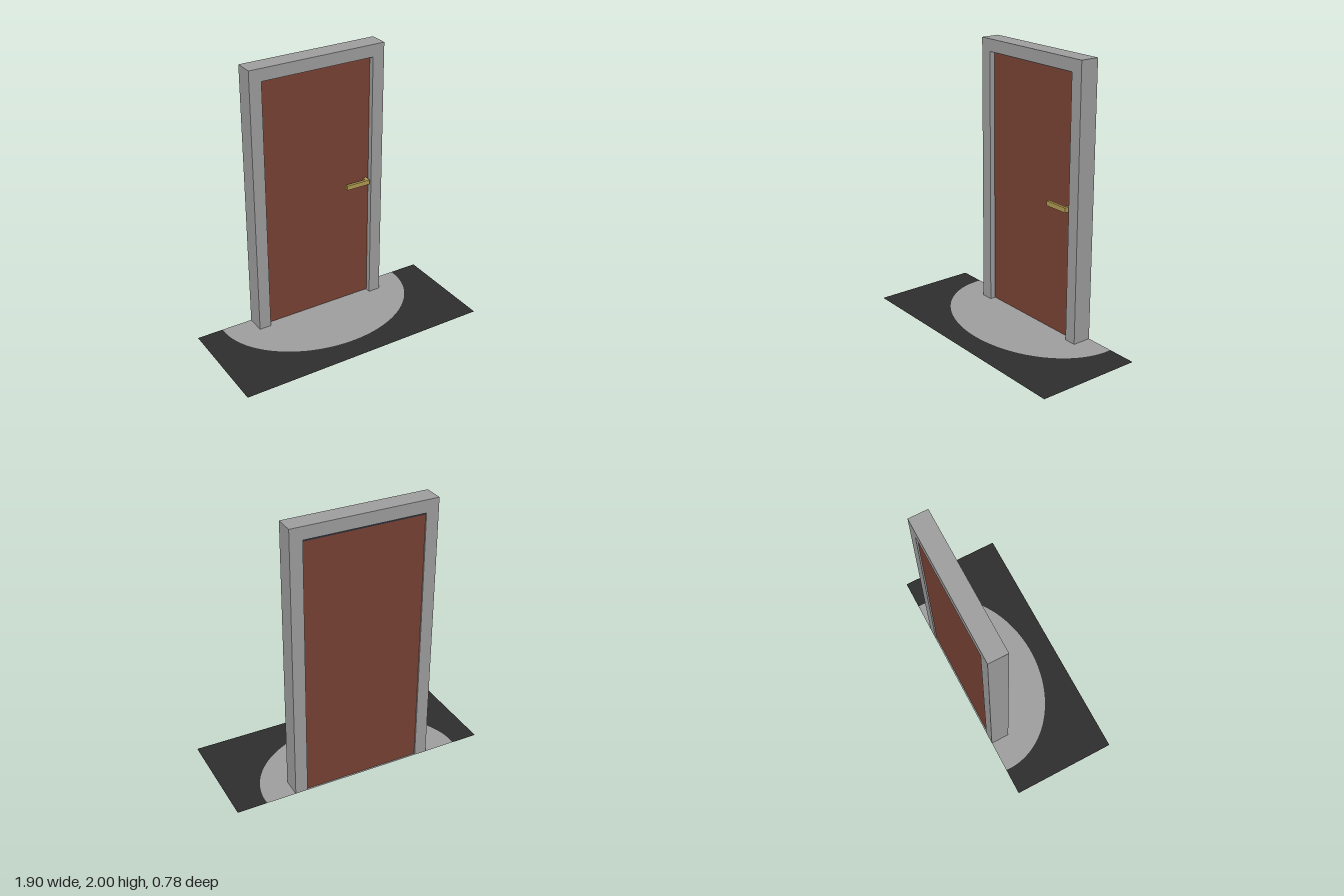
import * as THREE from 'three';

function material(name, color, side = THREE.FrontSide) {
  const m = new THREE.MeshStandardMaterial({ color, side });
  m.name = name;
  return m;
}

export function createModel() {
  const group = new THREE.Group();
  const grey = material('stone grey', 0x9d9d9d);
  const mat = material('mat grey', 0x9d9d9d, THREE.DoubleSide);
  const floor = material('floor charcoal', 0x2d2d2d, THREE.DoubleSide);
  const wood = material('red brown wood', 0x774133);
  const brass = material('brass', 0xae9850);
  const shadowGap = material('dark seal', 0x2b2d35);

  const add = (name, geometry, mtl) => {
    const mesh = new THREE.Mesh(geometry, mtl);
    mesh.name = name;
    group.add(mesh);
    return mesh;
  };
  // Box given by its limits on each axis
  const box = (name, mtl, [x0, x1], [y0, y1], [z0, z1]) => {
    const g = new THREE.BoxGeometry(x1 - x0, y1 - y0, z1 - z0);
    g.translate((x0 + x1) / 2, (y0 + y1) / 2, (z0 + z1) / 2);
    return add(name, g, mtl);
  };

  // Floor slab around a half-oval mat, both flat and flush
  const W = 0.95, D = 0.39;
  const a = Math.asin(0.03 / 0.58);
  const arc = [];
  for (let i = 0; i <= 72; i++) {
    const t = Math.PI - a + (i / 72) * (Math.PI + 2 * a);
    arc.push(new THREE.Vector2(-0.01 + 0.745 * Math.cos(t), 0.36 + 0.58 * Math.sin(t)));
  }
  const corners = [[W, D], [W, -D], [-W, -D], [-W, D]].map(([x, y]) => new THREE.Vector2(x, y));
  const flat = (points) => new THREE.ShapeGeometry(new THREE.Shape(points)).rotateX(-Math.PI / 2);
  add('mat', flat(arc), mat);
  add('floor', flat([...arc, ...corners]), floor);

  // Door frame: one inverted U, extruded through its depth
  const u = [[-0.52, 0], [-0.43, 0], [-0.43, 1.91], [0.43, 1.91], [0.43, 0], [0.52, 0], [0.52, 2], [-0.52, 2]];
  const frame = new THREE.ExtrudeGeometry(
    new THREE.Shape(u.map(([x, y]) => new THREE.Vector2(x, y))),
    { depth: 0.14, bevelEnabled: false });
  add('doorFrame', frame.translate(0, 0, -0.39), grey);

  // Door leaf and the dark seal above it
  box('door', wood, [-0.43, 0.43], [0.003, 1.896], [-0.38, -0.29]);
  box('topSeal', shadowGap, [-0.43, 0.43], [1.896, 1.91], [-0.38, -0.29]);

  // Lever handle: bar plus stem into the door
  box('handleBar', brass, [0.22, 0.41], [0.945, 0.98], [-0.258, -0.236]);
  box('handleStem', brass, [0.385, 0.41], [0.945, 0.98], [-0.29, -0.258]);

  return group;
}
